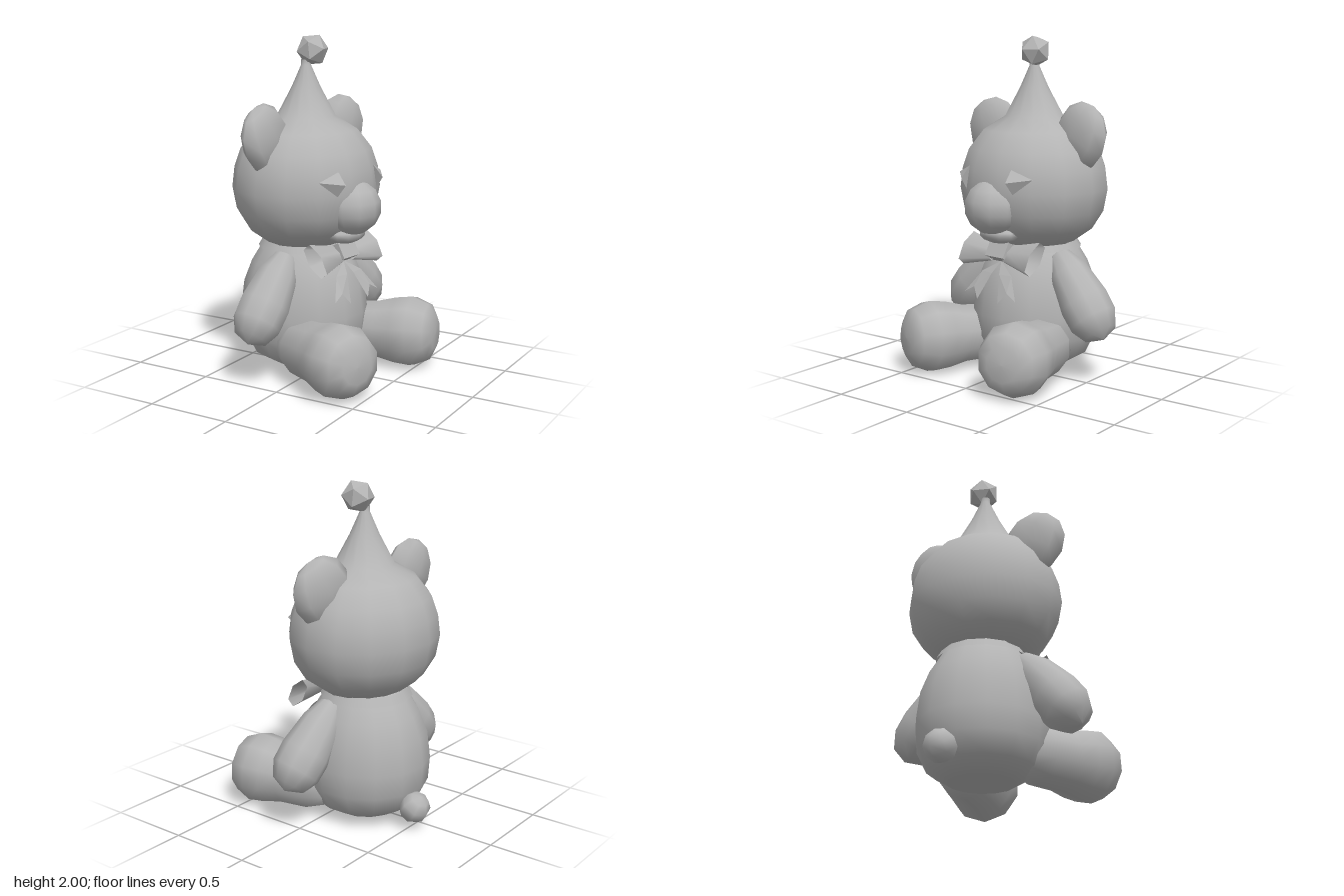
import * as THREE from 'three';

const plush = new THREE.MeshStandardMaterial({ color: 0xb4b4b4, side: THREE.DoubleSide });
plush.name = 'plush grey';

export function createModel() {
  const model = new THREE.Group();
  model.name = 'sittingBear';
  // The bear looks along its own +x, turned slightly to the side
  model.position.set(-0.09, 0, -0.03);
  model.rotation.y = -0.13;

  const add = (name, geometry, pos = [0, 0, 0], scale = [1, 1, 1]) => {
    const mesh = new THREE.Mesh(geometry, plush);
    mesh.name = name;
    mesh.position.set(...pos);
    mesh.scale.set(...scale);
    model.add(mesh);
    return mesh;
  };
  const lathe = (profile, sides) =>
    new THREE.LatheGeometry(profile.map(([r, y]) => new THREE.Vector2(r, y)), sides);
  // Flat-shaded faces from a short list of corners
  const faces = (points, index) => {
    const g = new THREE.BufferGeometry();
    g.setAttribute('position', new THREE.Float32BufferAttribute(points.flat(), 3));
    g.setIndex(index);
    const flat = g.toNonIndexed();
    flat.computeVertexNormals();
    return flat;
  };
  // Rounded limb running from one point toward another
  const limb = (name, profile, from, to) => {
    const mesh = add(name, lathe(profile, 10), from);
    const dir = new THREE.Vector3(...to).sub(mesh.position).normalize();
    mesh.quaternion.setFromUnitVectors(new THREE.Vector3(0, 1, 0), dir);
  };

  // Body
  add('body', lathe([
    [0, 0.025], [0.2, 0.03], [0.32, 0.1], [0.38, 0.22], [0.39, 0.36],
    [0.37, 0.52], [0.32, 0.65], [0.24, 0.78], [0.18, 0.82],
  ], 14), [-0.05, 0, 0], [1, 1, 0.97]);

  // Head drawn up into a pointed hat
  add('headAndHat', lathe([
    [0, 0.77], [0.25, 0.785], [0.37, 0.87], [0.44, 0.98], [0.465, 1.11], [0.45, 1.23],
    [0.41, 1.34], [0.32, 1.45], [0.185, 1.53], [0.09, 1.7], [0.03, 1.83], [0.03, 1.86],
  ], 14), [-0.03, 0, 0], [0.92, 1, 1]);
  const pompom = new THREE.IcosahedronGeometry(0.097);
  add('hatPompom', pompom, [-0.005, 1.915, -0.03]).rotation.set(0, 0.4, 0.1);

  // Muzzle, chin and tail
  const ball = new THREE.SphereGeometry(1, 10, 7);
  add('muzzle', ball, [0.315, 1.02, 0], [0.165, 0.165, 0.18]);
  add('chin', ball, [0.27, 0.86, 0], [0.1, 0.06, 0.14]);
  add('tail', new THREE.SphereGeometry(0.095, 7, 5), [-0.445, 0.135, 0]).rotation.z = 0.6;

  // Ribbon round the neck, with the knot at the front
  add('neckRibbon', new THREE.CylinderGeometry(0.245, 0.275, 0.05, 14, 1, true), [-0.05, 0.77, 0]);
  add('bowKnot', new THREE.BoxGeometry(0.09, 0.1, 0.15), [0.25, 0.745, 0]).rotation.z = 0.5;

  for (const s of [1, -1]) {
    const side = s > 0 ? 'left' : 'right';

    // Arms and legs
    limb(side + 'Arm', [
      [0, 0], [0.07, 0.03], [0.12, 0.15], [0.15, 0.35], [0.146, 0.47], [0.1, 0.56], [0, 0.6],
    ], [0, 0.74, 0.215 * s], [0.02, 0.29, 0.59 * s]);
    limb(side + 'Leg', [
      [0, 0], [0.12, 0.02], [0.17, 0.15], [0.18, 0.33], [0.206, 0.44],
      [0.217, 0.54], [0.175, 0.64], [0.1, 0.68], [0, 0.685],
    ], [0, 0.19, 0.2 * s], [0.65, 0.222, 0.4 * s]);

    // Flattened ears
    const ear = add(side + 'Ear', new THREE.SphereGeometry(1, 8, 6),
      [-0.046, 1.43, 0.355 * s], [0.088, 0.2, 0.2]);
    ear.rotation.set(0.5 * s, 0.1 * s, 0);

    // Pointed folds that form the eyes
    add(side + 'EyeFold', faces([
      [0.4, 1.18, 0.18 * s], [0.34, 1.25, 0.17 * s], [0.35, 1.11, 0.19 * s], [0.3, 1.2, 0.3 * s],
    ], [0, 1, 3, 0, 3, 2, 0, 2, 1]));

    // Bow loop: an open, flattened funnel widening outward
    const loop = add(side + 'BowLoop',
      new THREE.CylinderGeometry(1, 0.5, 0.22, 6, 1, true), [0.255, 0.735, 0.165 * s]);
    loop.geometry.scale(0.115, 1, 0.055);
    loop.geometry.rotateX(s * Math.PI / 2);
    loop.geometry.rotateZ(-0.87);

    // Bow tail with a notched end
    add(side + 'BowTail', faces([
      [0.25, 0.69, 0], [0.29, 0.62, 0.12 * s], [0.35, 0.49, 0.21 * s],
      [0.345, 0.53, 0.135 * s], [0.37, 0.465, 0.085 * s], [0.3, 0.62, 0.03 * s],
    ], [0, 1, 5, 1, 3, 5, 1, 2, 3, 5, 3, 4]));
  }

  const group = new THREE.Group();
  group.name = 'bear';
  group.add(model);
  return group;
}
